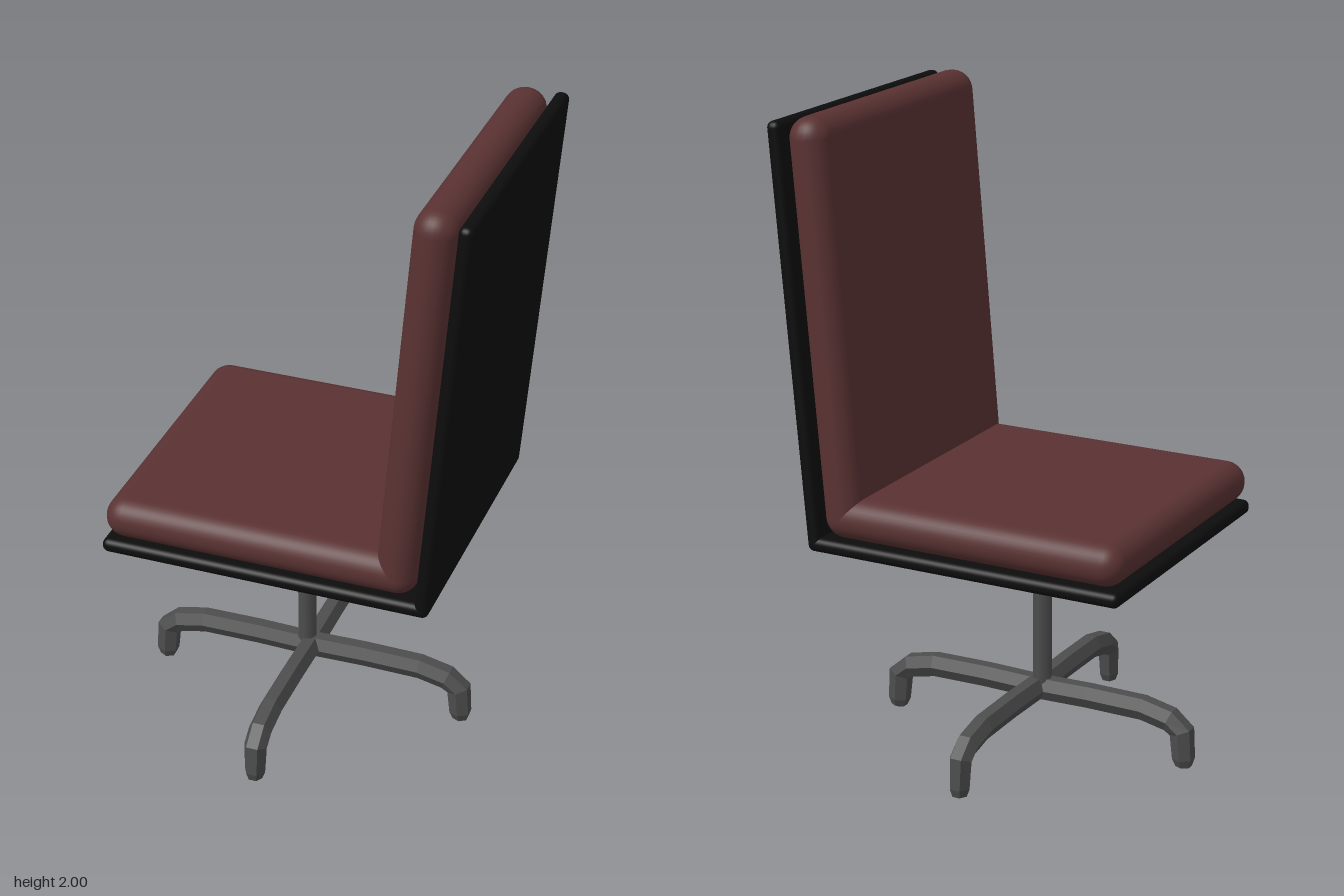
import * as THREE from 'three';
import { RoundedBoxGeometry } from 'three/addons/geometries/RoundedBoxGeometry.js';

const makeMaterial = (name, color) => {
  const m = new THREE.MeshStandardMaterial({ color });
  m.name = name;
  return m;
};

// Six-sided bar swept along [radius, height, scale] points, closed at the foot
function legGeometry() {
  const path = [
    [0, 0.168, 1], [0.18, 0.172, 1], [0.365, 0.17, 1], [0.455, 0.15, 1],
    [0.495, 0.118, 1], [0.502, 0.03, 0.9], [0.503, 0.005, 0.65],
  ];
  const sides = 6;
  const rings = path.map(([x, y, s], i) => {
    const a = path[Math.max(i - 1, 0)];
    const b = path[Math.min(i + 1, path.length - 1)];
    const t = new THREE.Vector2(b[0] - a[0], b[1] - a[1]).normalize();
    return Array.from({ length: sides }, (_, j) => {
      const angle = ((j + 0.5) / sides) * Math.PI * 2;
      const n = Math.cos(angle) * 0.04 * s;
      return [x - t.y * n, y + t.x * n, Math.sin(angle) * 0.037 * s];
    });
  });
  const pos = [];
  for (let j = 0; j < sides; j++) {
    const k = (j + 1) % sides;
    for (let i = 0; i < rings.length - 1; i++) {
      const a = rings[i][j], b = rings[i][k], c = rings[i + 1][k], d = rings[i + 1][j];
      pos.push(...a, ...b, ...d, ...b, ...c, ...d);
    }
    const end = rings[rings.length - 1];
    const [x, y] = path[path.length - 1];
    pos.push(x, y, 0, ...end[j], ...end[k]);
  }
  const geo = new THREE.BufferGeometry();
  geo.setAttribute('position', new THREE.Float32BufferAttribute(pos, 3));
  geo.computeVertexNormals(); // unshared corners give flat faces
  return geo;
}

export function createModel() {
  const chair = new THREE.Group();
  chair.name = 'chair';
  const upholstery = makeMaterial('maroon upholstery', 0x5a3232);
  const shell = makeMaterial('black shell', 0x0d0d0d);
  const metal = makeMaterial('grey metal', 0x4d4d4d);

  const addMesh = (name, geometry, material, x, y, z) => {
    const mesh = new THREE.Mesh(geometry, material);
    mesh.name = name;
    mesh.position.set(x, y, z);
    chair.add(mesh);
    return mesh;
  };
  const slab = (w, h, r) => new RoundedBoxGeometry(w, h, 0.945, 4, r);
  const zMid = -0.022;
  const lean = -0.083;

  // Seat
  addMesh('seatCushion', slab(0.99, 0.13, 0.064), upholstery, -0.065, 0.797, zMid);
  addMesh('seatPanel', slab(1.037, 0.045, 0.02), shell, -0.0425, 0.708, zMid);

  // Backrest, leaning away from the seat
  const cushion = new RoundedBoxGeometry(0.13, 1.27, 0.945, 4, 0.064);
  addMesh('backCushion', cushion, upholstery, 0.4135, 1.367, zMid).rotation.z = lean;
  const panel = new RoundedBoxGeometry(0.045, 1.3, 0.945, 4, 0.02);
  addMesh('backPanel', panel, shell, 0.506, 1.336, zMid).rotation.z = lean;

  // Pedestal and four-legged base
  addMesh('pedestal', new THREE.CylinderGeometry(0.031, 0.031, 0.55, 8), metal, -0.065, 0.425, 0);
  const leg = legGeometry();
  for (let i = 0; i < 4; i++) {
    addMesh('baseLeg' + (i + 1), leg, metal, -0.05, 0, 0).rotation.y = (i * Math.PI) / 2;
  }
  return chair;
}
